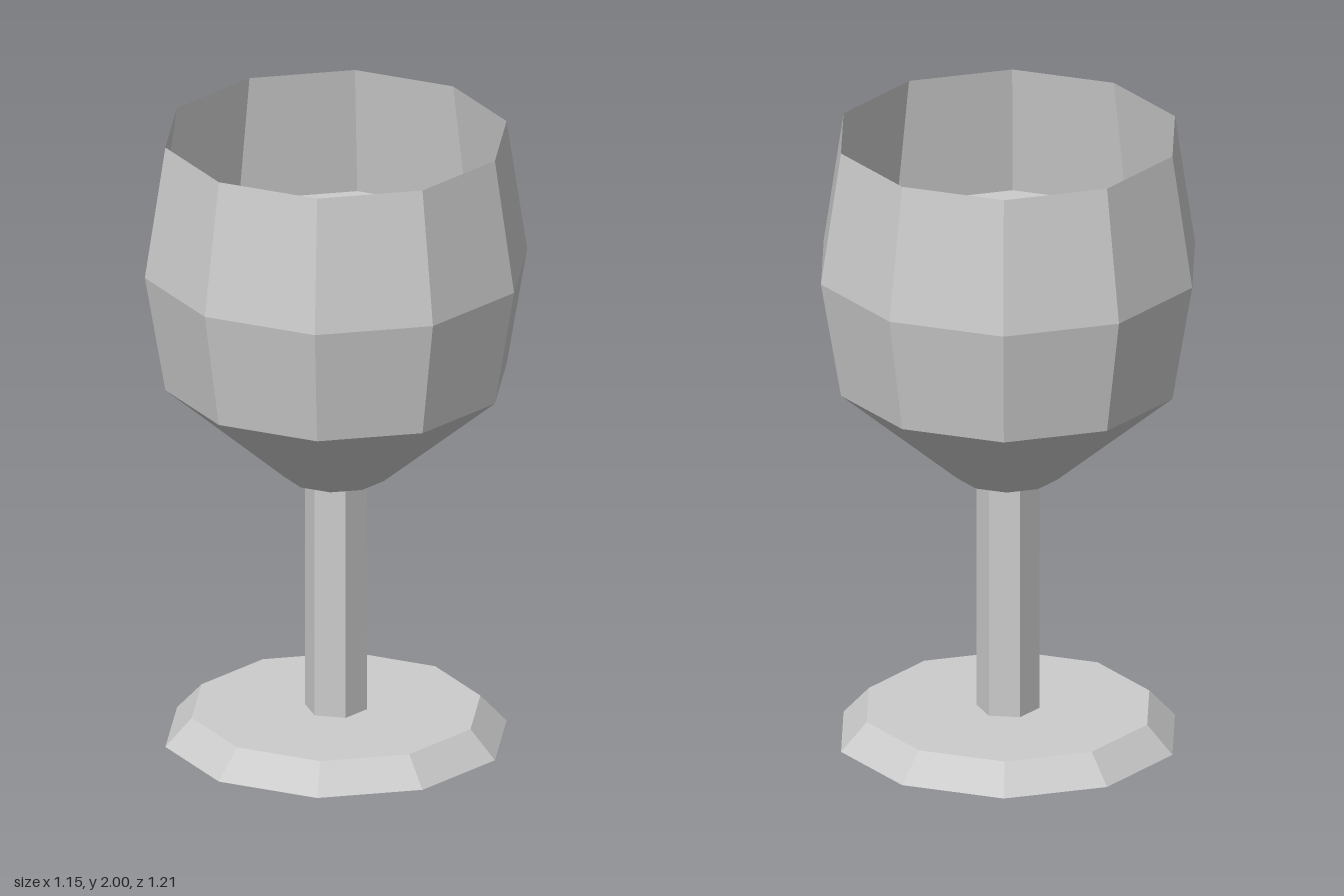
import * as THREE from 'three';

const SIDES = 10;

export function createModel() {
  const group = new THREE.Group();
  const grey = new THREE.MeshStandardMaterial({ color: 0xcccccc, flatShading: true, side: THREE.DoubleSide });
  grey.name = 'pale grey';

  const add = (name, geometry, y = 0) => {
    const mesh = new THREE.Mesh(geometry, grey);
    mesh.name = name;
    mesh.position.y = y;
    group.add(mesh);
  };

  // Foot: low bevelled disc
  add('foot', new THREE.CylinderGeometry(0.457, 0.54, 0.09, SIDES), 0.045);

  // Stem: open six-sided column between foot and bowl
  add('stem', new THREE.CylinderGeometry(0.098, 0.098, 0.78, 6, 1, true), 0.48);

  // Bowl: thin faceted shell, closed underneath and open at the rim
  const profile = [[0, 0.87], [0.163, 0.87], [0.54, 1.19], [0.605, 1.57], [0.54, 2]];
  add('bowl', new THREE.LatheGeometry(profile.map(([r, y]) => new THREE.Vector2(r, y)), SIDES));

  // Flat surface of the drink at the widest ring
  const surface = new THREE.CircleGeometry(0.605, SIDES, Math.PI / 2).rotateX(-Math.PI / 2);
  add('drinkSurface', surface, 1.57);

  return group;
}
